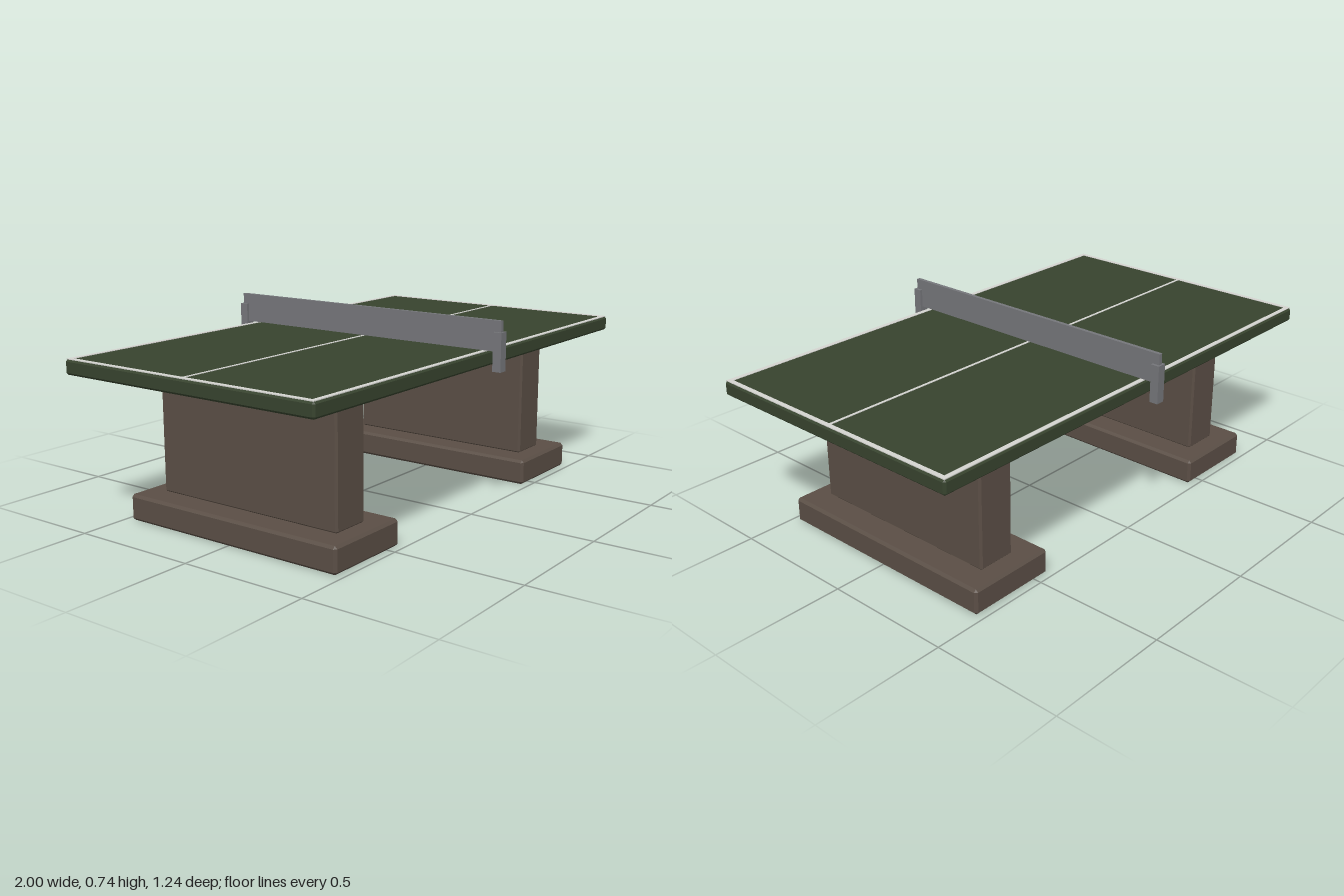
import * as THREE from 'three';
import { ConvexGeometry } from 'three/addons/geometries/ConvexGeometry.js';

// Box with all twelve edges chamfered by b
function chamferBox(w, h, d, b) {
  const points = [];
  for (const x of [-1, 1]) for (const y of [-1, 1]) for (const z of [-1, 1]) {
    for (const [i, j, k] of [[0, b, b], [b, 0, b], [b, b, 0]]) {
      points.push(new THREE.Vector3(x * (w / 2 - i), y * (h / 2 - j), z * (d / 2 - k)));
    }
  }
  return new ConvexGeometry(points);
}

export function createModel() {
  const table = new THREE.Group();
  table.name = 'tableTennisTable';

  const material = (name, color) => {
    const m = new THREE.MeshStandardMaterial({ color });
    m.name = name;
    return m;
  };
  const green = material('dark green', 0x37432e);
  const brown = material('brown stone', 0x5a4e45);
  const white = material('line white', 0xd4d4d0);
  const grey = material('net grey', 0x75767a);

  const add = (name, geometry, mat, x, y, z) => {
    const mesh = new THREE.Mesh(geometry, mat);
    mesh.name = name;
    mesh.position.set(x, y, z);
    table.add(mesh);
  };
  const box = (w, h, d) => new THREE.BoxGeometry(w, h, d);

  // Playing surface
  add('tableTop', chamferBox(2, 0.056, 1.11, 0.008), green, 0, 0.599, 0);

  // Painted lines
  const lineY = 0.6275;
  add('centreLine', box(1.96, 0.003, 0.01), white, 0, lineY, 0);
  for (const s of [-1, 1]) {
    add('sideLine', box(1.99, 0.003, 0.018), white, 0, lineY, s * 0.541);
    add('endLine', box(0.018, 0.003, 1.064), white, s * 0.986, lineY, 0);
  }

  // Pedestals: a wide slab leg on a broad foot
  for (const s of [-1, 1]) {
    add('leg', chamferBox(0.156, 0.475, 0.804, 0.008), brown, s * 0.618, 0.3345, 0);
    add('foot', chamferBox(0.36, 0.1, 0.95, 0.01), brown, s * 0.618, 0.05, 0);
  }

  // Net and its end posts
  add('net', box(0.015, 0.113, 1.224), grey, 0, 0.6865, 0);
  for (const s of [-1, 1]) {
    add('netPost', box(0.036, 0.144, 0.034), grey, 0, 0.63, s * 0.602);
  }
  return table;
}
